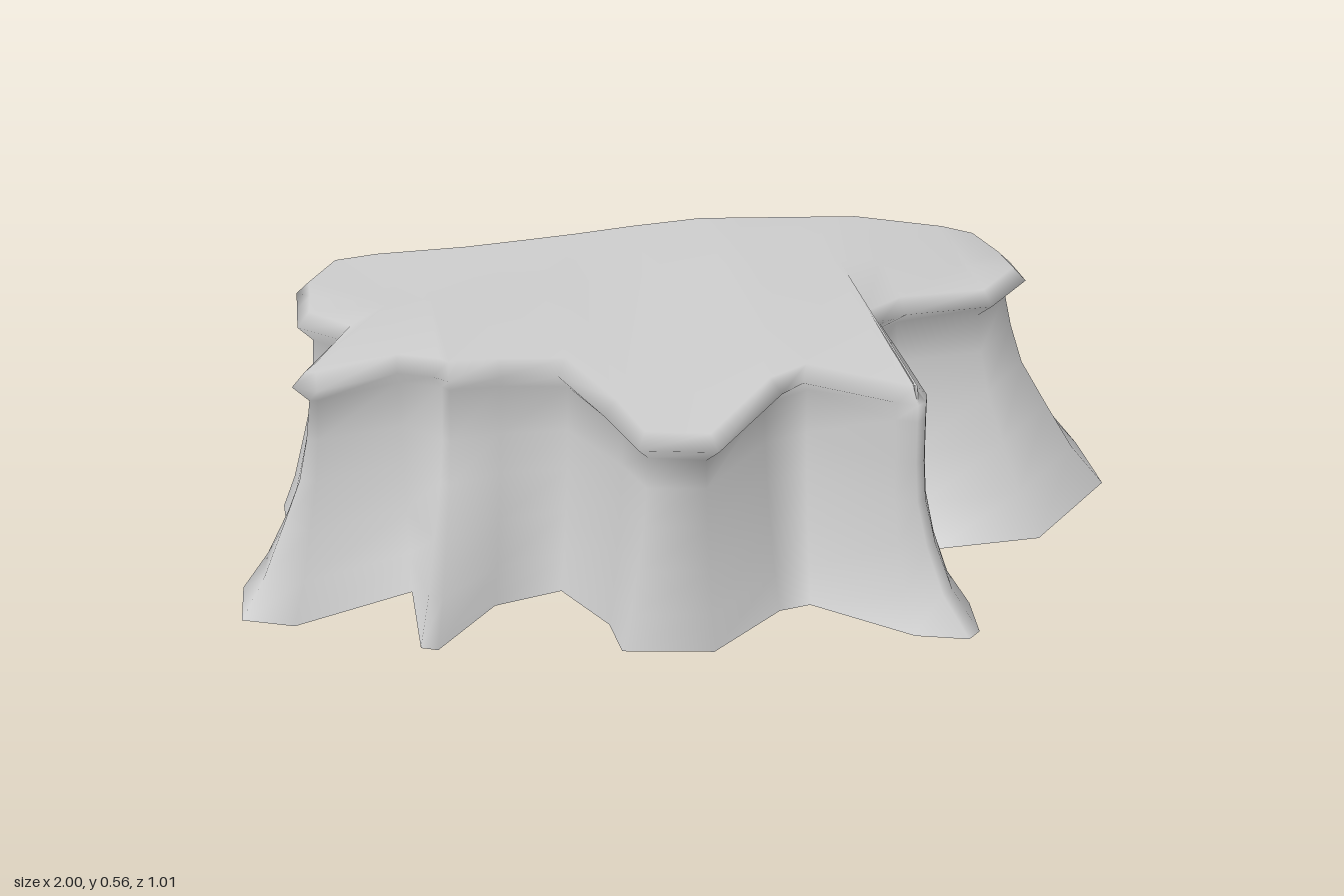
import * as THREE from 'three';
import { mergeVertices } from 'three/addons/utils/BufferGeometryUtils.js';

// One entry per vertical fold, from the left-back end round the front to the right-back end:
// rim x, rim z, rim height, foot x, foot z
const FOLDS = [
  [0.80, -0.44, 0.46, 0.98, -0.47],
  [0.82, -0.30, 0.475, 1.00, -0.25],
  [0.82, -0.18, 0.485, 1.00, -0.06],
  [0.70, -0.05, 0.495, 0.78, 0.145],
  [0.50, -0.04, 0.50, 0.55, 0.145],
  [0.43, 0.00, 0.505, 0.46, 0.07],
  [0.435, 0.18, 0.51, 0.50, 0.22],
  [0.44, 0.34, 0.51, 0.55, 0.37],
  [0.43, 0.37, 0.51, 0.54, 0.48],
  [0.41, 0.38, 0.51, 0.51, 0.505],
  [0.37, 0.36, 0.51, 0.40, 0.47],
  [0.20, 0.24, 0.51, 0.21, 0.31],
  [0.15, 0.26, 0.50, 0.14, 0.32],
  [-0.02, 0.43, 0.475, -0.03, 0.445],
  [-0.18, 0.40, 0.48, -0.22, 0.405],
  [-0.23, 0.28, 0.50, -0.23, 0.30],
  [-0.30, 0.12, 0.515, -0.31, 0.15],
  [-0.42, 0.11, 0.52, -0.46, 0.18],
  [-0.53, 0.115, 0.525, -0.60, 0.325],
  [-0.56, 0.09, 0.525, -0.635, 0.31],
  [-0.63, 0.04, 0.515, -0.63, 0.09],
  [-0.80, 0.06, 0.50, -0.89, 0.175],
  [-0.85, 0.03, 0.50, -1.00, 0.13],
  [-0.82, -0.03, 0.50, -0.99, 0.00],
  [-0.74, -0.14, 0.515, -0.80, -0.12],
  [-0.82, -0.22, 0.51, -0.88, -0.26],
  [-0.815, -0.31, 0.51, -0.88, -0.33],
  [-0.81, -0.39, 0.51, -0.84, -0.39],
  [-0.74, -0.505, 0.505, -0.58, -0.485],
];

// Back edge of the plateau, right to left: x, height, z
const BACK_EDGE = [
  [-0.74, 0.535, -0.505], [-0.40, 0.545, -0.48], [-0.15, 0.55, -0.49],
  [0.10, 0.56, -0.50], [0.50, 0.54, -0.475], [0.80, 0.49, -0.44],
];

// Concave flare of the wall: [height, share of the foot spread]
const FLARE = [[0, 1], [0.08, 0.7], [0.18, 0.44], [0.28, 0.19], [0.37, 0.07]];

const isFrontCorner = (i) => i >= 7 && i <= 10;

// Horizontal direction pointing into the rock at fold i
function inward(i) {
  const a = FOLDS[Math.max(i - 1, 0)];
  const b = FOLDS[Math.min(i + 1, FOLDS.length - 1)];
  return new THREE.Vector2(-(b[1] - a[1]), b[0] - a[0]).normalize();
}

// How far the lip hangs over the wall
function overhangAt(i) {
  if (isFrontCorner(i)) return 0;
  if (i === FOLDS.length - 1) return 0.08;
  return i < 16 ? 0.045 : 0.035;
}

// Point of the back edge at a given x
function backPoint(x) {
  const k = BACK_EDGE.findIndex((p) => p[0] >= x);
  const a = new THREE.Vector3(...BACK_EDGE[k - 1]);
  const b = new THREE.Vector3(...BACK_EDGE[k]);
  return a.lerp(b, (x - a.x) / (b.x - a.x)).toArray();
}

// Points of one fold, from the foot up over the overhanging lip to the top edge
function foldPoints([rx, rz, ry, fx, fz], i) {
  const n = inward(i);
  const nx = rx + n.x * overhangAt(i);
  const nz = rz + n.y * overhangAt(i);
  const power = isFrontCorner(i) ? 1.7 : 1;
  const pts = FLARE.map(([y, f]) => [nx + (fx - nx) * f ** power, y, nz + (fz - nz) * f ** power]);
  pts.push([nx, ry - 0.04, nz]);
  pts.push([rx, ry, rz]);
  pts.push([rx + n.x * 0.03, ry + 0.03, rz + n.y * 0.03]);
  return pts;
}

function cliffGeometry() {
  const folds = FOLDS.map(foldPoints);
  const top = folds[0].length - 1;

  // Plateau: each fold runs on to a spine near the back, then to the back edge
  let spineX = 0.7;
  for (const fold of folds) {
    spineX = Math.max(Math.min(fold[top][0], spineX), -0.62);
    const back = backPoint(spineX);
    fold.push([spineX, back[1] - 0.005, -0.25], back);
  }

  const rows = folds[0].length;
  const index = [];
  for (let i = 0; i < folds.length - 1; i++) {
    for (let r = 0; r < rows - 1; r++) {
      const a = i * rows + r;
      const b = a + rows;
      index.push(a, a + 1, b, b, a + 1, b + 1);
    }
  }

  // Back corners of the plateau
  const last = (folds.length - 1) * rows + top;
  index.push(top, top + 2, top + 1, last, last + 1, last + 2);

  const geometry = new THREE.BufferGeometry();
  geometry.setAttribute('position', new THREE.Float32BufferAttribute(folds.flat(2), 3));
  geometry.setIndex(index);
  const merged = mergeVertices(geometry);
  merged.computeVertexNormals();
  return merged;
}

export function createModel() {
  const group = new THREE.Group();
  group.name = 'cliff';
  const rock = new THREE.MeshStandardMaterial({ color: 0xcccccc, side: THREE.DoubleSide });
  const shell = new THREE.Mesh(cliffGeometry(), rock);
  shell.name = 'cliffWallAndPlateau';
  group.add(shell);
  return group;
}
